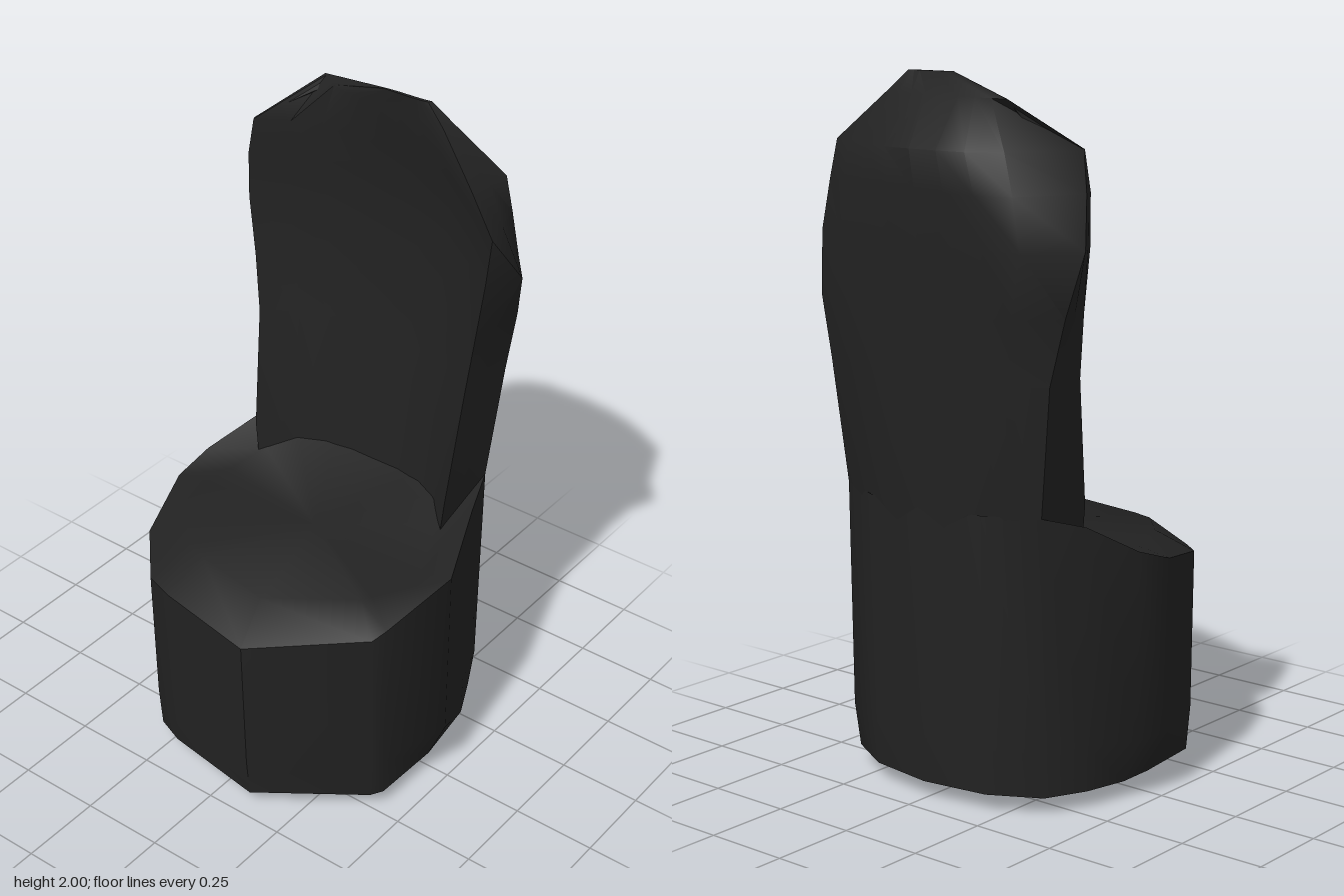
import * as THREE from 'three';
import { toCreasedNormals } from 'three/addons/utils/BufferGeometryUtils.js';

const material = new THREE.MeshStandardMaterial({ color: 0x222222, side: THREE.DoubleSide });
const { lerp, clamp } = THREE.MathUtils;

// Skin a stack of rings, bottom to top; a ring with one point closes the end
function loft(name, rings, crease) {
  const pos = [];
  const n = Math.max(...rings.map(r => r.length));
  for (let k = 0; k < rings.length - 1; k++) {
    const a = rings[k], b = rings[k + 1];
    for (let i = 0; i < n; i++) {
      const j = (i + 1) % n;
      const a0 = a[i % a.length], a1 = a[j % a.length];
      const b0 = b[i % b.length], b1 = b[j % b.length];
      if (b.length > 1) pos.push(...a0, ...b0, ...b1);
      if (a.length > 1) pos.push(...a0, ...b1, ...a1);
    }
  }
  const geometry = new THREE.BufferGeometry();
  geometry.setAttribute('position', new THREE.Float32BufferAttribute(pos, 3));
  const mesh = new THREE.Mesh(toCreasedNormals(geometry, crease), material);
  mesh.name = name;
  return mesh;
}

// Faceted drum with an uneven rim: x, z and rim height around the outline
function createSeat() {
  const outline = [
    [-0.03, -0.495, 0.68], [0.09, -0.48, 0.72], [0.22, -0.40, 0.80], [0.35, -0.35, 0.84],
    [0.425, -0.2, 0.84], [0.455, 0, 0.84], [0.425, 0.2, 0.84], [0.35, 0.355, 0.84],
    [0.22, 0.40, 0.80], [0, 0.485, 0.73], [-0.23, 0.43, 0.66], [-0.27, 0.41, 0.64],
    [-0.49, 0.12, 0.61], [-0.43, -0.2, 0.61], [-0.40, -0.29, 0.61], [-0.26, -0.415, 0.64],
  ];
  // Wall ring drawn in to a given radius and depth, which bevels the foot
  const wall = (y, scale, radius, depth) => outline.map(([x, z]) => {
    const f = Math.min(1, radius / Math.hypot(x * scale, z));
    return [x * scale * f, y, clamp(z * f, -depth, depth)];
  });
  return loft('seat', [
    [[-0.12, 0, -0.14]],
    wall(0.05, 0.96, 0.475, 0.43),
    wall(0.18, 0.97, 0.5, 0.495),
    outline.map(([x, z, y]) => [x, y, z]),
    outline.map(([x, z, y]) => [x * 0.75, Math.max(0.7, y - 0.05), z * 0.78]),
    [[0, 0.7, 0]],
  ], 0.8);
}

// Uneven curved backrest: rounded outside, hollow inside, ridge on top
function createBackrest() {
  // Per level: y, outer and inner x at the centre, then for each side
  // outer edge x and z, roundness, inner edge x and z
  const levels = [
    [0.60, 0.42, 0.28, [0.31, -0.33, 2, 0.15, -0.32], [0.31, 0.33, 2, 0.14, 0.33]],
    [0.84, 0.455, 0.29, [0.35, -0.35, 2, 0.15, -0.34], [0.35, 0.355, 2, 0.15, 0.35]],
    [1.20, 0.466, 0.32, [0.36, -0.385, 3, 0.20, -0.36], [0.38, 0.385, 2.2, 0.20, 0.37]],
    [1.38, 0.472, 0.33, [0.34, -0.42, 4.5, 0.21, -0.38], [0.395, 0.405, 2.5, 0.21, 0.39]],
    [1.56, 0.478, 0.33, [0.32, -0.47, 6.4, 0.21, -0.40], [0.393, 0.40, 2.5, 0.21, 0.415]],
    [1.70, 0.482, 0.32, [0.265, -0.43, 6, 0.21, -0.40], [0.38, 0.38, 2.5, 0.21, 0.43]],
    [1.81, 0.485, 0.30, [0.22, -0.385, 5.5, 0.21, -0.38], [0.365, 0.365, 2, 0.235, 0.34]],
    [1.94, 0.345, 0.28, [0.35, -0.235, 2, 0.34, -0.225], [0.31, 0.23, 2, 0.27, 0.22]],
    [2.00, 0.28, 0.27, [0.275, 0.02, 2, 0.27, 0.02], [0.285, 0.17, 2, 0.275, 0.165]],
  ];
  const steps = 8;
  const rings = levels.map(([y, xo, xi, right, left]) => {
    const outer = [], inner = [];
    for (let i = 0; i <= steps; i++) {
      const s = (i / steps) * 2 - 1, t = Math.abs(s);
      const side = s < 0 ? right : left;
      outer.push([lerp(xo, side[0], t ** side[2]), y, lerp(right[1], left[1], i / steps)]);
      inner.unshift([lerp(xi, side[3], t ** 3), y, lerp(right[4], left[4], i / steps)]);
    }
    // Middle of the edge face, bulging out at the widest level on the left
    const bulge = y === 1.56 ? 0.065 : 0;
    const middle = ([x, z, , x2, z2], out) => [(x + x2) / 2, y, (z + z2) / 2 + out];
    return [...outer, middle(left, bulge), ...inner, middle(right, 0)];
  });
  return loft('backrest', [[[0.3, 0.6, 0]], ...rings, [[0.275, 2, 0.1]]], 0.85);
}

export function createModel() {
  const group = new THREE.Group();
  group.name = 'chair';
  group.add(createSeat(), createBackrest());
  return group;
}
